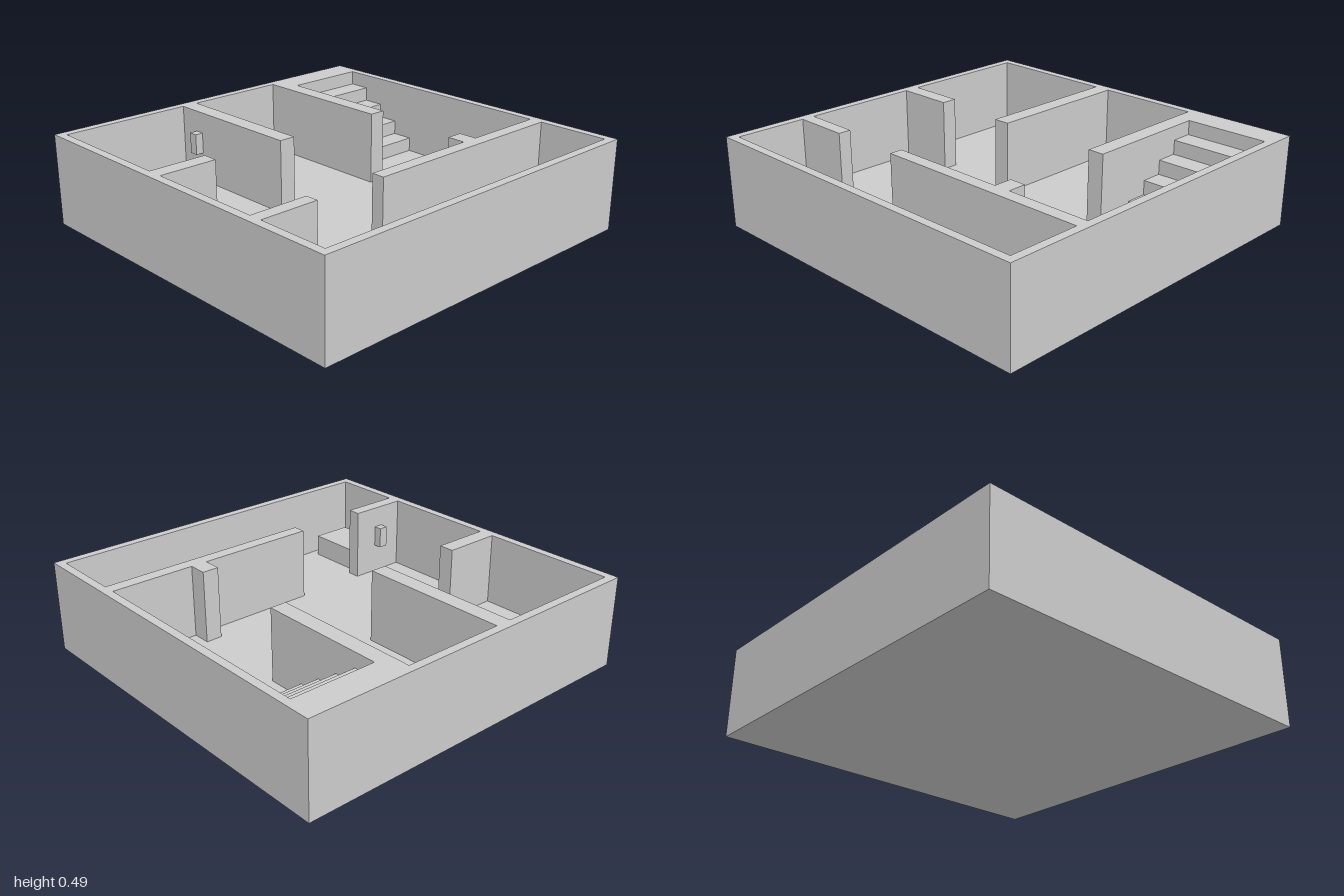
import * as THREE from 'three';

const FLOOR = 0.1, TOP = 0.49;

export function createModel() {
  const group = new THREE.Group();
  const material = new THREE.MeshStandardMaterial({ color: 0xcccccc, flatShading: true });

  const add = (name, geometry) => {
    const mesh = new THREE.Mesh(geometry, material);
    mesh.name = name;
    group.add(mesh);
  };
  // Box given by its extents on each axis
  const box = (name, [x0, x1], [y0, y1], [z0, z1]) =>
    add(name, new THREE.BoxGeometry(x1 - x0, y1 - y0, z1 - z0)
      .translate((x0 + x1) / 2, (y0 + y1) / 2, (z0 + z1) / 2));
  // Floor plan points (x, z) turned into shape points
  const plan = (points) => points.map(([x, z]) => new THREE.Vector2(x, -z));

  // Floor slab
  box('floor', [-1, 1], [0, FLOOR], [-1, 1]);

  // Walls: a full block with the connected rooms cut out
  const walls = new THREE.Shape(plan([[-1, -1], [-1, 1], [1, 1], [1, -1]]));
  walls.holes.push(new THREE.Path(plan([
    [-0.955, -0.955], [-0.235, -0.955], [-0.235, -0.14], [-0.145, -0.14],   // back left room
    [-0.145, -0.955], [0.41, -0.955], [0.41, -0.14], [0.5, -0.14],          // back middle room
    [0.5, -0.84], [0.955, -0.84], [0.955, 0.5],                             // stairwell
    [0.5, 0.5], [0.5, 0.4], [0.41, 0.4], [0.41, 0.5],                       // pillar
    [-0.235, 0.5], [-0.235, 0.57], [0.955, 0.57],                           // front partition
    [0.955, 0.955], [-0.955, 0.955],                                        // front room
    [-0.955, 0.57], [-0.64, 0.57], [-0.64, 0.5], [-0.955, 0.5],             // front left stub
    [-0.955, -0.14], [-0.64, -0.14], [-0.64, -0.225], [-0.955, -0.225],     // middle left stub
  ])));
  add('walls', new THREE.ExtrudeGeometry(walls, { depth: TOP - FLOOR, bevelEnabled: false })
    .rotateX(-Math.PI / 2).translate(0, FLOOR, 0));

  // Stairs rising to the wall top at the back
  const steps = 4, run = 0.121, rise = (TOP - FLOOR) / (steps + 1);
  for (let i = 0; i < steps; i++) {
    const z = -0.84 + i * run;
    box('stairStep', [0.5, 0.955], [FLOOR, TOP - (i + 1) * rise], [z, z + run]);
  }

  // Low block in the front room
  box('bed', [-0.905, -0.685], [FLOOR, 0.22], [0.615, 0.905]);

  // Small wall fixtures
  box('backWallFixture', [-0.28, -0.235], [0.26, 0.375], [-0.84, -0.79]);
  box('frontWallFixture', [-0.825, -0.775], [0.26, 0.375], [0.455, 0.5]);

  return group;
}
